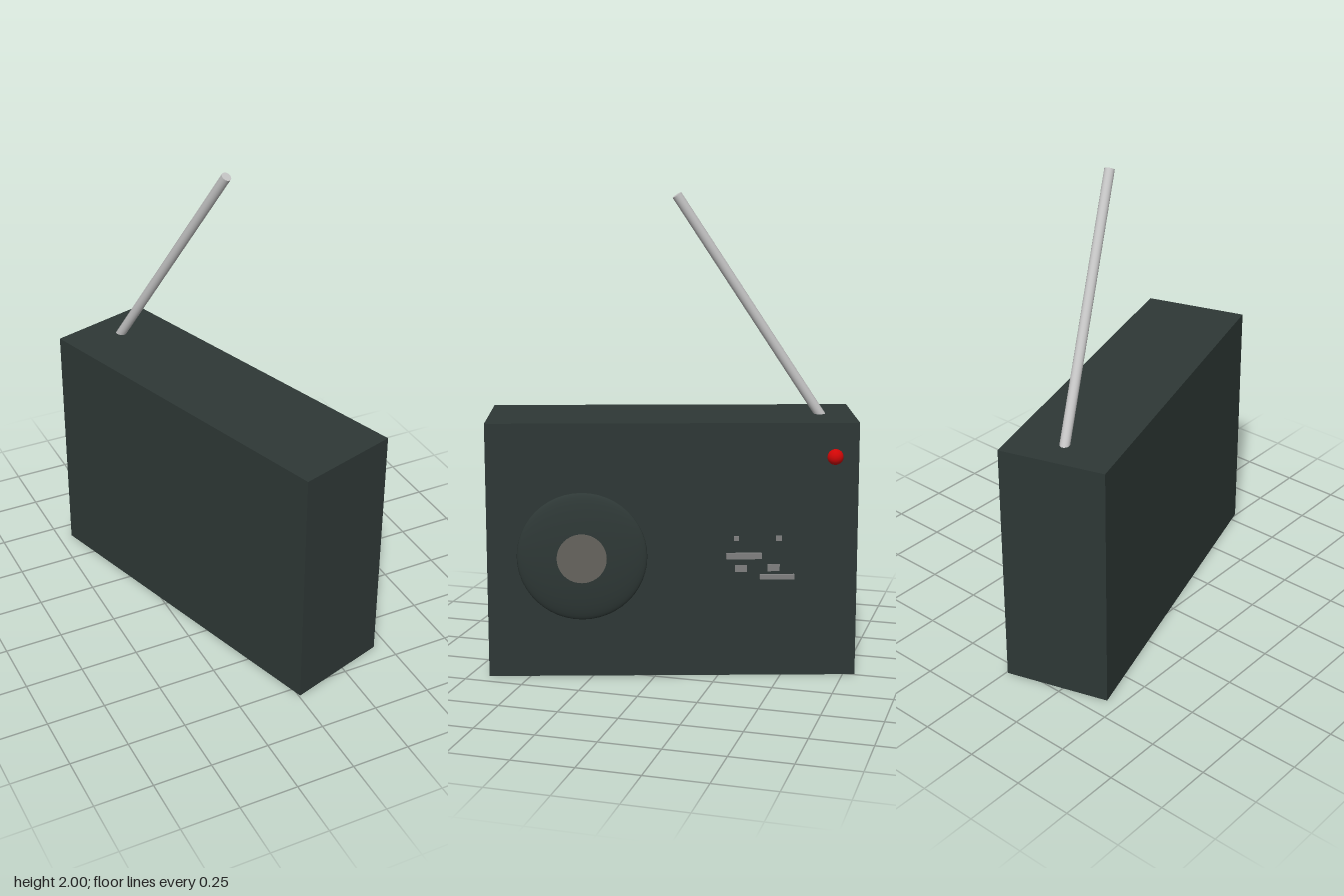
import * as THREE from 'three';

const mat = (name, color) => {
  const m = new THREE.MeshStandardMaterial({ color });
  m.name = name;
  return m;
};

export function createModel() {
  const model = new THREE.Group();
  model.name = 'radio';
  const caseMat = mat('dark slate', 0x2e3836);
  const greyMat = mat('warm grey', 0x66645e);
  const barMat = mat('mid grey', 0x808080);
  const silver = mat('silver', 0xc4c4c4);
  const red = mat('red', 0xd00606);

  const add = (parent, name, geometry, material, x, y, z) => {
    const mesh = new THREE.Mesh(geometry, material);
    mesh.name = name;
    mesh.position.set(x, y, z);
    parent.add(mesh);
    return mesh;
  };

  // Body group, turned about the vertical; its local +x side is the radio's face
  const body = new THREE.Group();
  body.name = 'body';
  body.rotation.y = 0.296;
  model.add(body);
  const W = 0.454, H = 1.074, L = 1.531, face = W / 2;
  add(body, 'case', new THREE.BoxGeometry(W, H, L), caseMat, 0, H / 2, 0);

  // Speaker: shallow dome with a flat centre cap
  const dome = add(body, 'speakerDome', new THREE.SphereGeometry(0.27, 48, 24), caseMat, face, 0.515, 0.373);
  dome.scale.x = 0.036 / 0.27;
  const cap = add(body, 'speakerCap', new THREE.CylinderGeometry(0.103, 0.103, 0.02, 40), greyMat, face + 0.028, 0.515, 0.373);
  cap.rotation.z = -Math.PI / 2;

  // Control bars
  add(body, 'upperBar', new THREE.BoxGeometry(0.03, 0.024, 0.147), barMat, face, 0.517, -0.296);
  add(body, 'lowerBar', new THREE.BoxGeometry(0.03, 0.02, 0.143), barMat, face, 0.428, -0.434);

  // Small marks around the bars: [y, z, height, length]
  for (const [y, z, h, l] of [
    [0.59, -0.265, 0.02, 0.02], [0.59, -0.44, 0.022, 0.025],
    [0.462, -0.285, 0.03, 0.05], [0.465, -0.42, 0.03, 0.05],
  ]) add(body, 'mark', new THREE.BoxGeometry(0.006, h, l), barMat, face, y, z);

  // Power light
  add(body, 'powerLight', new THREE.SphereGeometry(0.034, 24, 16), red, face - 0.007, 0.932, -0.668);

  // Antenna, leaning from its foot to its tip
  const foot = new THREE.Vector3(-0.181, 1.05, -0.613);
  const tip = new THREE.Vector3(0.07, 1.988, -0.043);
  const dir = tip.clone().sub(foot);
  const mid = foot.clone().add(tip).multiplyScalar(0.5);
  const antenna = add(model, 'antenna', new THREE.CylinderGeometry(0.021, 0.021, dir.length(), 20), silver, mid.x, mid.y, mid.z);
  antenna.quaternion.setFromUnitVectors(new THREE.Vector3(0, 1, 0), dir.normalize());

  return model;
}
